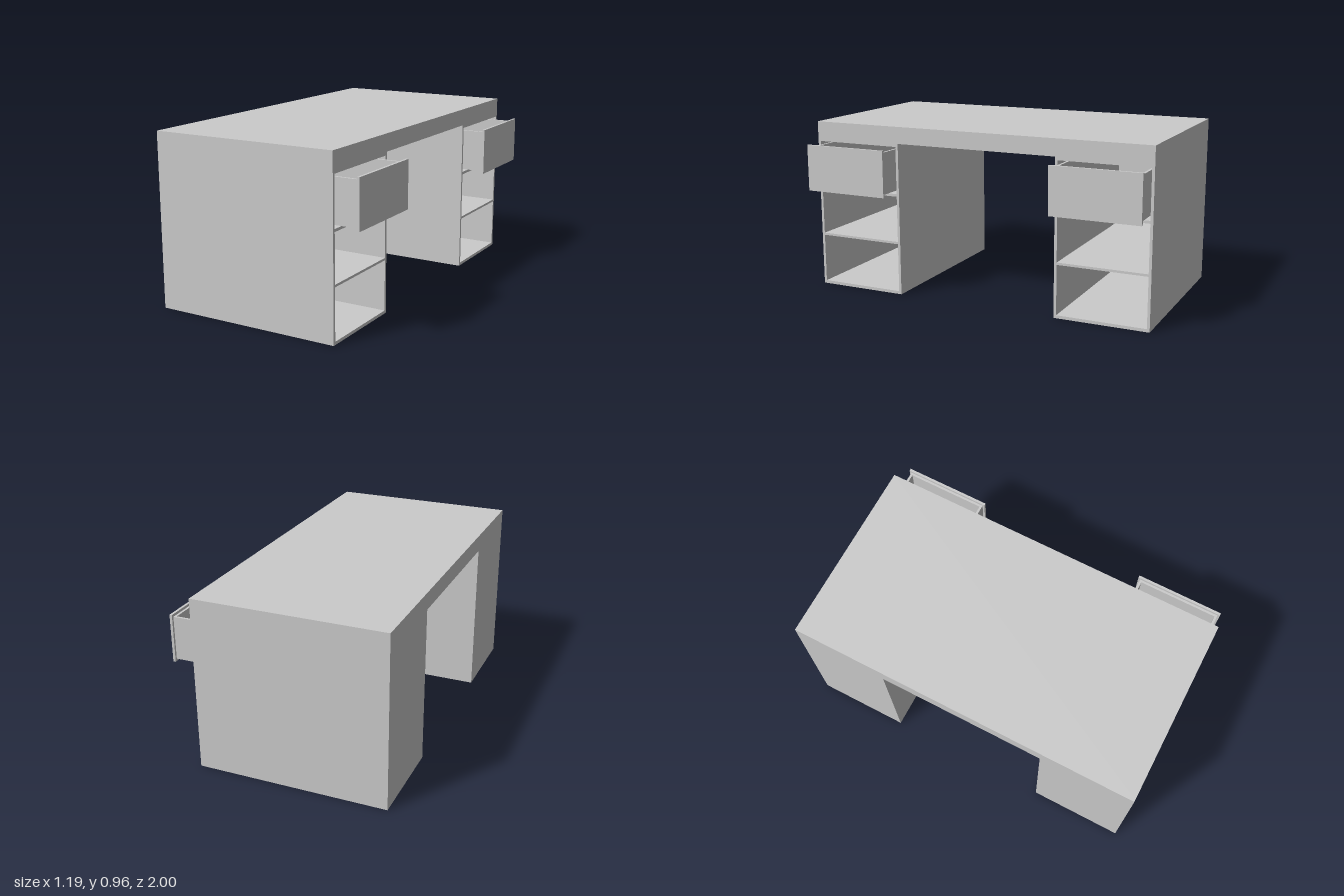
import * as THREE from 'three';

const material = new THREE.MeshStandardMaterial({ color: 0xcccccc, flatShading: true });

// Desk outline seen from the drawer side: two pedestals joined by the top
function deskOutline() {
  return new THREE.Shape([
    [-1, 0], [-0.47, 0], [-0.47, 0.87], [0.47, 0.87],
    [0.47, 0], [1, 0], [1, 0.965], [-1, 0.965],
  ].map(([z, y]) => new THREE.Vector2(z, y)));
}

function rectPath(z0, z1, y0, y1) {
  return new THREE.Path([[z0, y0], [z0, y1], [z1, y1], [z1, y0]]
    .map(([z, y]) => new THREE.Vector2(z, y)));
}

// Extrude a z-y shape along x, from x0 to x1
function extrudeAlongX(name, shape, x0, x1) {
  const geometry = new THREE.ExtrudeGeometry(shape, { depth: x1 - x0, bevelEnabled: false });
  geometry.rotateY(Math.PI / 2).translate(x0, 0, 0);
  const mesh = new THREE.Mesh(geometry, material);
  mesh.name = name;
  return mesh;
}

// Box given by its limits on each axis
function box(name, x0, x1, y0, y1, z0, z1) {
  const mesh = new THREE.Mesh(new THREE.BoxGeometry(x1 - x0, y1 - y0, z1 - z0), material);
  mesh.position.set((x0 + x1) / 2, (y0 + y1) / 2, (z0 + z1) / 2);
  mesh.name = name;
  return mesh;
}

// Open-topped tray with an overlapping front panel, pulled partly out
function createDrawer(name, zCentre) {
  const drawer = new THREE.Group();
  drawer.name = name;
  const back = -0.45, front = 0.583, low = 0.6, high = 0.835, half = 0.235, wall = 0.013;
  drawer.add(
    box('drawerBottom', back, front, low, low + wall, -half, half),
    box('drawerBack', back, back + wall, low + wall, high, -half + wall, half - wall),
    box('drawerInnerFront', front - wall, front, low + wall, high, -half + wall, half - wall),
    box('drawerFrontPanel', front, 0.597, 0.587, 0.849, -0.247, 0.247),
  );
  for (const side of [-1, 1]) {
    const wallMesh = box('drawerSide', back, front, low + wall, high, half - wall, half);
    wallMesh.position.z *= side;
    drawer.add(wallMesh);
  }
  drawer.position.z = zCentre;
  return drawer;
}

export function createModel() {
  const desk = new THREE.Group();
  desk.name = 'desk';

  // Body with three compartments in each pedestal
  const body = deskOutline();
  for (const [y0, y1] of [[0.017, 0.295], [0.308, 0.57], [0.585, 0.852]]) {
    body.holes.push(rectPath(0.485, 0.985, y0, y1), rectPath(-0.985, -0.485, y0, y1));
  }
  desk.add(extrudeAlongX('deskBody', body, -0.583, 0.465));

  // Closed back of the compartments
  desk.add(extrudeAlongX('backPanel', deskOutline(), -0.597, -0.583));

  desk.add(createDrawer('leftDrawer', 0.735), createDrawer('rightDrawer', -0.735));
  return desk;
}
